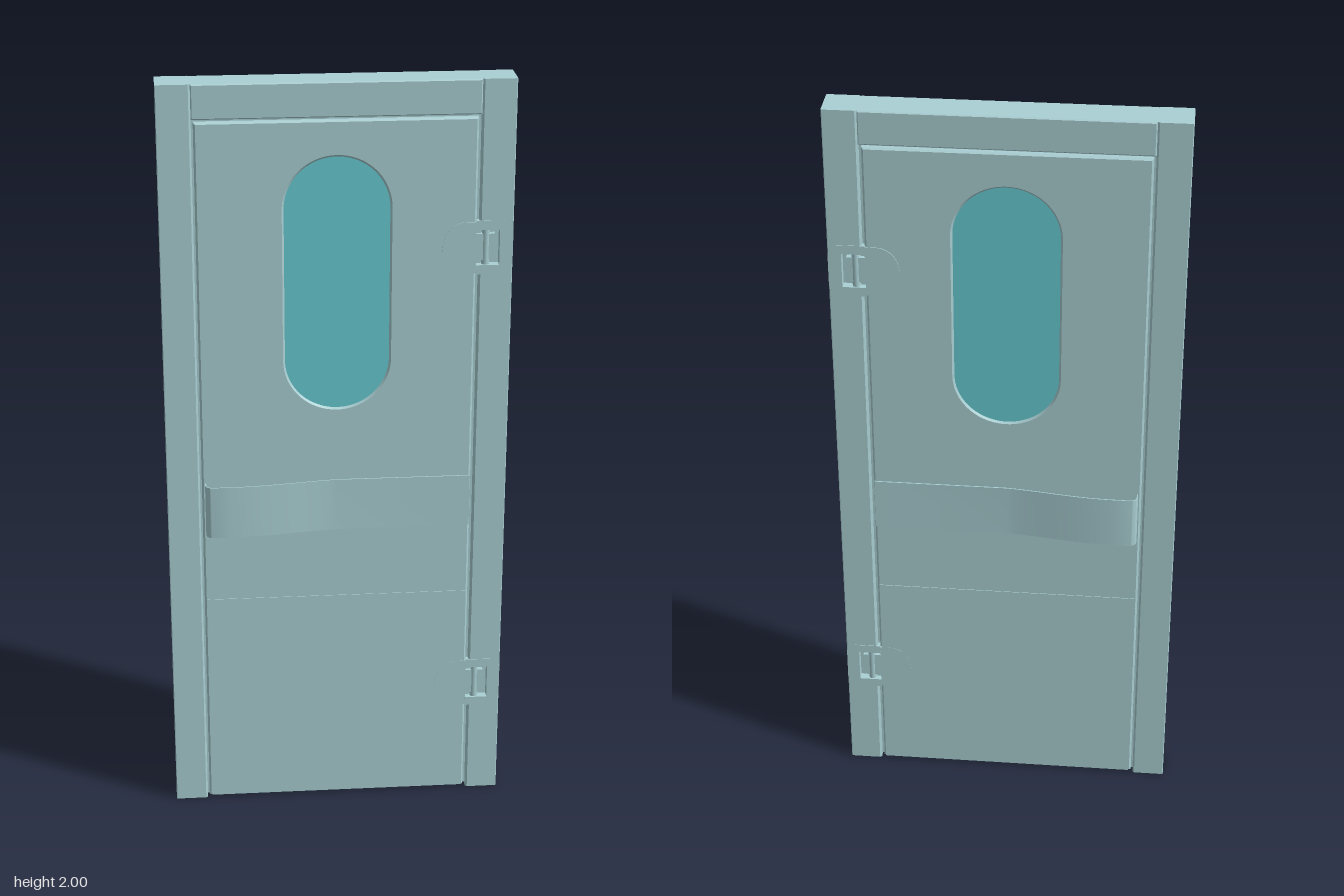
import * as THREE from 'three';
import { toCreasedNormals } from 'three/addons/utils/BufferGeometryUtils.js';

const body = new THREE.MeshStandardMaterial({ color: 0xaad0d4 });
const glass = new THREE.MeshStandardMaterial({ color: 0x66ccd4 });

function add(parent, name, geometry, material = body) {
  const mesh = new THREE.Mesh(geometry, material);
  mesh.name = name;
  parent.add(mesh);
  return mesh;
}

// Box given by its limits on each axis
function block(parent, name, x0, x1, y0, y1, z0, z1) {
  const g = new THREE.BoxGeometry(x1 - x0, y1 - y0, z1 - z0);
  return add(parent, name, g.translate((x0 + x1) / 2, (y0 + y1) / 2, (z0 + z1) / 2));
}

// Floor-plan outline (x, -z) raised from y0 to y1
function rise(shape, y0, y1) {
  const g = new THREE.ExtrudeGeometry(shape, { depth: y1 - y0, bevelEnabled: false, curveSegments: 10 });
  return toCreasedNormals(g.rotateX(-Math.PI / 2).translate(0, y0, 0), 0.6);
}

// Front outline extruded symmetrically about z = 0, with an optional chamfer
function panel(shape, half, bevel = 0) {
  const g = new THREE.ExtrudeGeometry(shape, {
    depth: 2 * (half - bevel), bevelEnabled: bevel > 0, bevelThickness: bevel,
    bevelSize: bevel, bevelOffset: -bevel, bevelSegments: 1, curveSegments: 24,
  });
  return toCreasedNormals(g.translate(0, 0, -(half - bevel)), 0.5);
}

function rectangle(x0, x1, y0, y1) {
  return new THREE.Shape([[x0, y0], [x1, y0], [x1, y1], [x0, y1]].map(p => new THREE.Vector2(...p)));
}

// Upright rounded-end outline
function stadium(r, y0, y1, Type = THREE.Shape) {
  const s = new Type();
  s.absarc(0, y1 - r, r, 0, Math.PI, false);
  s.absarc(0, y0 + r, r, Math.PI, 2 * Math.PI, false);
  s.closePath();
  return s;
}

// Jamb plan with chamfered corners; inner side faces the door
function jambPlan(side) {
  const pts = [[0.443, -0.043], [0.443, 0.043], [0.441, 0.045], [0.362, 0.045],
    [0.357, 0.040], [0.357, -0.040], [0.362, -0.045], [0.441, -0.045]];
  return new THREE.Shape(pts.map(([x, z]) => new THREE.Vector2(side * x, z)));
}

export function createModel() {
  const model = new THREE.Group();
  const hingeHeights = [0.33, 1.57];
  const pocket = 0.046;

  // Frame: the hinge-side jamb is cut away around each hinge
  const frame = new THREE.Group();
  frame.name = 'frame';
  model.add(frame);
  add(frame, 'rightJamb', rise(jambPlan(-1), 0, 2));
  let y = 0;
  for (const h of hingeHeights) {
    add(frame, 'leftJamb', rise(jambPlan(1), y, h - pocket));
    block(frame, 'leftJambOuter', 0.41, 0.443, h - pocket, h + pocket, -0.045, 0.045);
    block(frame, 'leftJambCore', 0.357, 0.41, h - pocket, h + pocket, -0.024, 0.024);
    y = h + pocket;
  }
  add(frame, 'leftJamb', rise(jambPlan(1), y, 2));
  add(frame, 'head', panel(rectangle(-0.357, 0.357, 1.912, 2), 0.046, 0.003));

  // Seals close the narrow gaps around the leaf
  block(frame, 'topSeal', -0.35, 0.35, 1.89, 1.92, -0.03, 0.03);
  for (const s of [-1, 1]) block(frame, 'sideSeal', s * 0.353 - 0.01, s * 0.353 + 0.01, 0.006, 1.92, -0.03, 0.03);

  // Door leaf with window
  const leaf = new THREE.Group();
  leaf.name = 'doorLeaf';
  model.add(leaf);
  const outline = rectangle(-0.352, 0.35, 0.006, 1.905);
  outline.holes.push(stadium(0.133, 1.148, 1.812, THREE.Path));
  add(leaf, 'doorPanel', panel(outline, 0.044, 0.005));
  add(leaf, 'window', panel(stadium(0.134, 1.147, 1.813), 0.039), glass);

  // Bowed bumper strip plan, in (x, distance from the leaf centre)
  const t = 0.003;
  const bumper = new THREE.Shape();
  bumper.moveTo(0.348, 0.043);
  bumper.lineTo(0.348, 0.0475);
  bumper.lineTo(0, 0.0475);
  bumper.bezierCurveTo(-0.08, 0.053, -0.18, 0.077, -0.28, 0.077);
  bumper.lineTo(-0.322, 0.077);
  bumper.quadraticCurveTo(-0.344, 0.077, -0.344, 0.055);
  bumper.lineTo(-0.344, 0.043);
  bumper.lineTo(-0.344 + t, 0.043);
  bumper.lineTo(-0.344 + t, 0.055);
  bumper.quadraticCurveTo(-0.344 + t, 0.077 - t, -0.322, 0.077 - t);
  bumper.lineTo(-0.28, 0.077 - t);
  bumper.bezierCurveTo(-0.18, 0.077 - t, -0.08, 0.050, 0, 0.0445);
  bumper.lineTo(0, 0.043);
  bumper.closePath();
  const mirrored = new THREE.Shape(bumper.getPoints(10).map(p => new THREE.Vector2(p.x, -p.y)));

  add(leaf, 'frontBumper', rise(mirrored, 0.805, 0.947));
  add(leaf, 'backBumper', rise(bumper, 0.805, 0.947));
  add(leaf, 'kickPlates', panel(rectangle(-0.345, 0.345, 0.008, 0.61), 0.0458));

  // Hinges: rounded leaf plate, C-shaped surround and barrel, on both faces
  for (const h of hingeHeights) {
    const hinge = new THREE.Group();
    hinge.name = 'hinge';
    hinge.position.y = h;
    model.add(hinge);
    const plate = new THREE.Shape();
    plate.moveTo(0.35, -0.067);
    plate.lineTo(0.35, 0.067);
    plate.lineTo(0.325, 0.067);
    plate.bezierCurveTo(0.245, 0.067, 0.245, -0.067, 0.325, -0.067);
    add(hinge, 'leafPlate', panel(plate, 0.0462));

    const surround = new THREE.Shape([[0.35, -0.07], [0.42, -0.07], [0.42, 0.07], [0.35, 0.07],
      [0.35, 0.046], [0.409, 0.046], [0.409, -0.046], [0.35, -0.046]].map(p => new THREE.Vector2(...p)));
    add(hinge, 'surround', panel(surround, 0.0465));
    for (const s of [-1, 1]) {
      block(hinge, 'arm', 0.345, 0.398, -0.034, 0.034, s * 0.032 - 0.008, s * 0.032 + 0.008);
      const barrel = new THREE.CylinderGeometry(0.01, 0.01, 0.092, 16);
      add(hinge, 'barrel', barrel.translate(0.375, 0, s * 0.033));
    }
  }
  return model;
}
